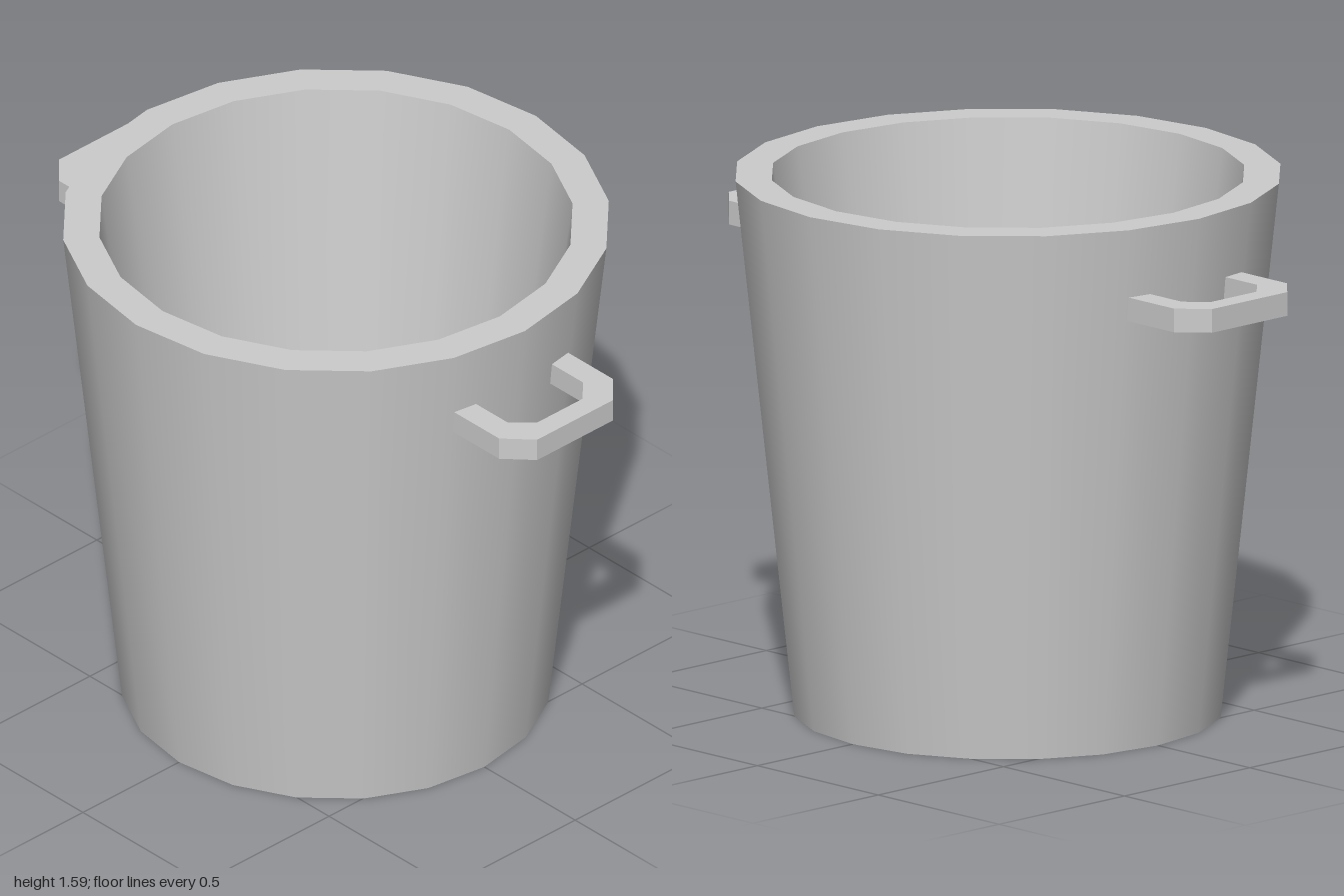
import * as THREE from 'three';
import { mergeGeometries } from 'three/addons/utils/BufferGeometryUtils.js';

const SIDES = 20;

// Bucket profile [radius, height]: underside, outer wall, rim, inner wall, floor
const PROFILE = [[0, 0], [0.62, 0], [0.79, 1.585], [0.685, 1.585], [0.49, 0.1], [0, 0.1]]
  .map(([r, y]) => new THREE.Vector2(r, y));

// Half outline of a handle [x, z]: along the outer edge, and along the inner edge
const HANDLE_OUTER = [[0.225, 0.7], [0.225, 0.92], [0.15, 1]];
const HANDLE_INNER = [[0.09, 0.935], [0.15, 0.875], [0.15, 0.7]];
const HANDLE_TOP = 1.38;
const HANDLE_THICKNESS = 0.07;

// Each profile segment is its own lathe, so walls stay smooth and rims stay sharp
function bucketGeometry() {
  const bands = [];
  for (let i = 0; i < PROFILE.length - 1; i++) {
    bands.push(new THREE.LatheGeometry([PROFILE[i], PROFILE[i + 1]], SIDES));
  }
  return mergeGeometries(bands);
}

// Flat chamfered U, extruded and laid horizontally, pointing to +z
function handleGeometry() {
  const mirror = (points) => points.map(([x, z]) => [-x, z]).reverse();
  const outline = [
    ...HANDLE_OUTER, ...mirror(HANDLE_OUTER),
    ...mirror(HANDLE_INNER), ...HANDLE_INNER,
  ].map(([x, z]) => new THREE.Vector2(x, z));
  // The inner edge runs back from the mirrored side to the first side
  const geometry = new THREE.ExtrudeGeometry(new THREE.Shape(outline), {
    depth: HANDLE_THICKNESS, bevelEnabled: false,
  });
  return geometry.rotateX(Math.PI / 2).translate(0, HANDLE_TOP, 0);
}

export function createModel() {
  const group = new THREE.Group();
  group.name = 'bucket';
  const material = new THREE.MeshStandardMaterial({ color: 0xcccccc });

  const body = new THREE.Mesh(bucketGeometry(), material);
  body.name = 'body';
  group.add(body);

  // Matching handles on the front and back
  const handle = handleGeometry();
  [['frontHandle', 0], ['backHandle', Math.PI]].forEach(([name, angle]) => {
    const mesh = new THREE.Mesh(handle, material);
    mesh.name = name;
    mesh.rotation.y = angle;
    group.add(mesh);
  });
  return group;
}
